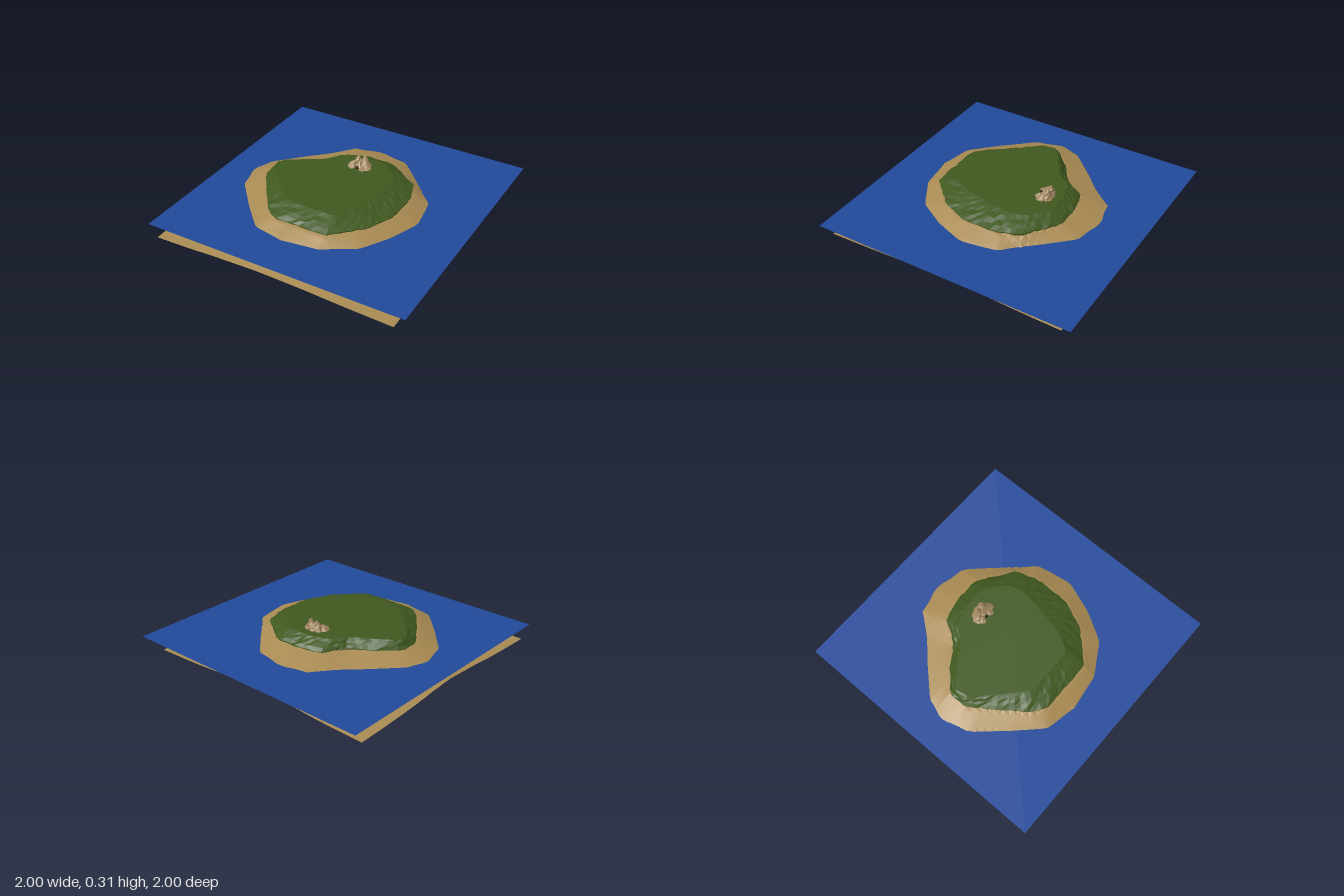
import * as THREE from 'three';

const WATER = 0.12, RIM = 0.178, TOP = 0.235;

// Outlines seen from above, as [x, z]
const SHORE = [[0.63, 0.06], [0.58, -0.21], [0.49, -0.29], [0.34, -0.46], [0.19, -0.62], [-0.05, -0.67],
  [-0.26, -0.62], [-0.4, -0.45], [-0.53, -0.33], [-0.72, -0.13], [-0.78, 0.03], [-0.72, 0.25],
  [-0.53, 0.46], [-0.34, 0.65], [-0.1, 0.7], [0.17, 0.66], [0.41, 0.52], [0.54, 0.3]];
const GRASS = [[0.475, 0], [0.47, -0.13], [0.41, -0.29], [0.3, -0.37], [0.165, -0.47], [-0.05, -0.47],
  [-0.21, -0.42], [-0.31, -0.26], [-0.45, -0.17], [-0.61, -0.03], [-0.61, 0.11], [-0.5, 0.27],
  [-0.34, 0.49], [-0.24, 0.56], [0.17, 0.56], [0.38, 0.35], [0.47, 0.14]];
const PLATEAU = [[0.29, 0], [0.31, -0.15], [0.27, -0.25], [0.12, -0.37], [-0.05, -0.37], [-0.2, -0.32],
  [-0.29, -0.2], [-0.42, -0.12], [-0.57, -0.02], [-0.55, 0.1], [-0.4, 0.25], [-0.25, 0.39],
  [-0.15, 0.41], [0.15, 0.41], [0.23, 0.28]];

function seeded(seed) {
  let s = seed;
  return () => ((s = (s * 16807) % 2147483647) / 2147483647);
}

// Radius of an outline in any direction: where the ray crosses an outline edge
function outline(points) {
  const n = points.length;
  return (angle) => {
    const dx = Math.cos(angle), dz = Math.sin(angle);
    for (let i = 0; i < n; i++) {
      const [ax, az] = points[i], [bx, bz] = points[(i + 1) % n];
      const ca = dx * az - dz * ax, cb = dx * bz - dz * bx;
      if (ca * cb > 0 || ca === cb) continue;
      const t = ca / (ca - cb);
      const r = (ax + (bx - ax) * t) * dx + (az + (bz - az) * t) * dz;
      if (r > 0) return r;
    }
    return 0.5;
  };
}
const shoreAt = outline(SHORE), grassAt = outline(GRASS), plateauAt = outline(PLATEAU);

function material(color) {
  return new THREE.MeshStandardMaterial({ color, flatShading: true, roughness: 1, side: THREE.DoubleSide });
}

function addMesh(parent, name, geometry, mat) {
  const mesh = new THREE.Mesh(geometry, mat);
  mesh.name = name;
  parent.add(mesh);
  return mesh;
}

// Sand: beach rising inside the shore, sea bed sinking outside it
function sandHeight(x, z) {
  const r = Math.hypot(x, z), a = Math.atan2(z, x);
  const shore = shoreAt(a), grass = grassAt(a);
  if (r > shore) return WATER - 0.121 * (1 - Math.exp(-(r - shore) / 0.23));
  const t = Math.min(1, (shore - r) / (shore - grass));
  return WATER + (RIM - 0.004 - WATER) * t;
}

function sandGeometry() {
  const geo = new THREE.PlaneGeometry(1.87, 1.86, 48, 48).rotateX(-Math.PI / 2).translate(-0.025, 0, 0.04);
  const p = geo.attributes.position;
  let low = 1;
  for (let i = 0; i < p.count; i++) {
    p.setY(i, sandHeight(p.getX(i), p.getZ(i)));
    low = Math.min(low, p.getY(i));
  }
  for (let i = 0; i < p.count; i++) {
    // keep the island as it is and bring the deepest corner to the floor
    const y = p.getY(i);
    if (y < WATER) p.setY(i, WATER - (WATER - y) * WATER / (WATER - low));
  }
  geo.computeVertexNormals();
  return geo;
}

// Grass: rings from the ragged rim up to the flat plateau
function grassGeometry() {
  const rand = seeded(7), sides = 80, rings = 5, pos = [], index = [];
  for (let k = 0; k <= rings; k++) {
    for (let i = 0; i < sides; i++) {
      const a = (i / sides) * Math.PI * 2, t = Math.max(0, (k - 1) / (rings - 1));
      const outer = grassAt(a), inner = Math.min(plateauAt(a), outer - 0.03);
      const slope = k > 0 && k < rings;
      const r = outer + (inner - outer) * t + (slope ? (rand() - 0.5) * 0.012 : 0);
      const y = k === 0 ? RIM - 0.014 : RIM + (TOP - RIM) * Math.pow(t, 0.85)
        + (slope ? (rand() - 0.5) * 0.008 : 0);
      pos.push(Math.cos(a) * r, Math.min(y, TOP), Math.sin(a) * r);
    }
  }
  const centre = pos.length / 3;
  pos.push(0, TOP, 0);
  for (let i = 0; i < sides; i++) {
    const j = (i + 1) % sides;
    for (let k = 0; k < rings; k++) {
      const a = k * sides + i, b = k * sides + j, c = a + sides, d = b + sides;
      index.push(a, c, b, b, c, d);
    }
    index.push(rings * sides + i, centre, rings * sides + j);
  }
  const geo = new THREE.BufferGeometry();
  geo.setAttribute('position', new THREE.Float32BufferAttribute(pos, 3));
  geo.setIndex(index);
  geo.computeVertexNormals();
  return geo;
}

// Crag: a ragged cone standing on y = 0, leaning back towards its peak
function cragGeometry(radius, height, leanX, leanZ, seed) {
  const rand = seeded(seed), sides = 9;
  const geo = new THREE.CylinderGeometry(radius * 0.14, radius, height, sides, 4).translate(0, height / 2, 0);
  const p = geo.attributes.position, bumps = [];
  for (let i = 0; i < sides * 5; i++) bumps.push(0.78 + rand() * 0.44);
  for (let i = 0; i < p.count; i++) {
    const x = p.getX(i), y = p.getY(i), z = p.getZ(i), t = y / height;
    const side = Math.round((Math.atan2(z, x) / (Math.PI * 2) + 1) * sides) % sides;
    const b = Math.hypot(x, z) < 1e-6 ? 1 : bumps[Math.round(t * 4) * sides + side];
    p.setXYZ(i, x * b + leanX * t, y, z * b + leanZ * t);
  }
  geo.computeVertexNormals();
  return geo;
}

export function createModel() {
  const island = new THREE.Group();
  island.name = 'island';

  addMesh(island, 'sand', sandGeometry(), material(0xa88a52));
  addMesh(island, 'grass', grassGeometry(), material(0x40581f));
  const water = addMesh(island, 'water', new THREE.PlaneGeometry(2, 2).rotateX(-Math.PI / 2), material(0x21499a));
  water.position.y = WATER;

  // Rock outcrop: twin peaks, side spurs and boulders around a small cave
  const rocks = new THREE.Group();
  rocks.name = 'rockOutcrop';
  rocks.position.set(-0.01, TOP - 0.005, -0.24);
  island.add(rocks);
  const stone = material(0xa58a62);
  // x, z, radius, height, lean x, lean z
  const crags = [
    [-0.03, -0.02, 0.048, 0.075, 0.005, -0.012], [0.03, -0.025, 0.05, 0.083, -0.006, -0.012],
    [-0.06, 0.01, 0.042, 0.042, 0.012, -0.01], [0.06, 0.0, 0.042, 0.04, -0.012, -0.01],
    [-0.045, 0.035, 0.034, 0.03, 0.01, -0.012], [0.04, 0.035, 0.032, 0.03, -0.01, -0.012],
    [0, -0.045, 0.035, 0.05, 0, 0.01], [0, 0.01, 0.032, 0.045, 0, -0.015],
  ];
  crags.forEach(([x, z, r, h, lx, lz], i) => {
    addMesh(rocks, 'crag', cragGeometry(r, h, lx, lz, 31 + i * 57), stone).position.set(x, 0, z);
  });
  const cave = addMesh(rocks, 'caveMouth', new THREE.SphereGeometry(0.016, 8, 6), material(0x2a2118));
  cave.scale.set(0.9, 1.2, 0.6);
  cave.position.set(-0.003, 0.007, 0.036);

  return island;
}
